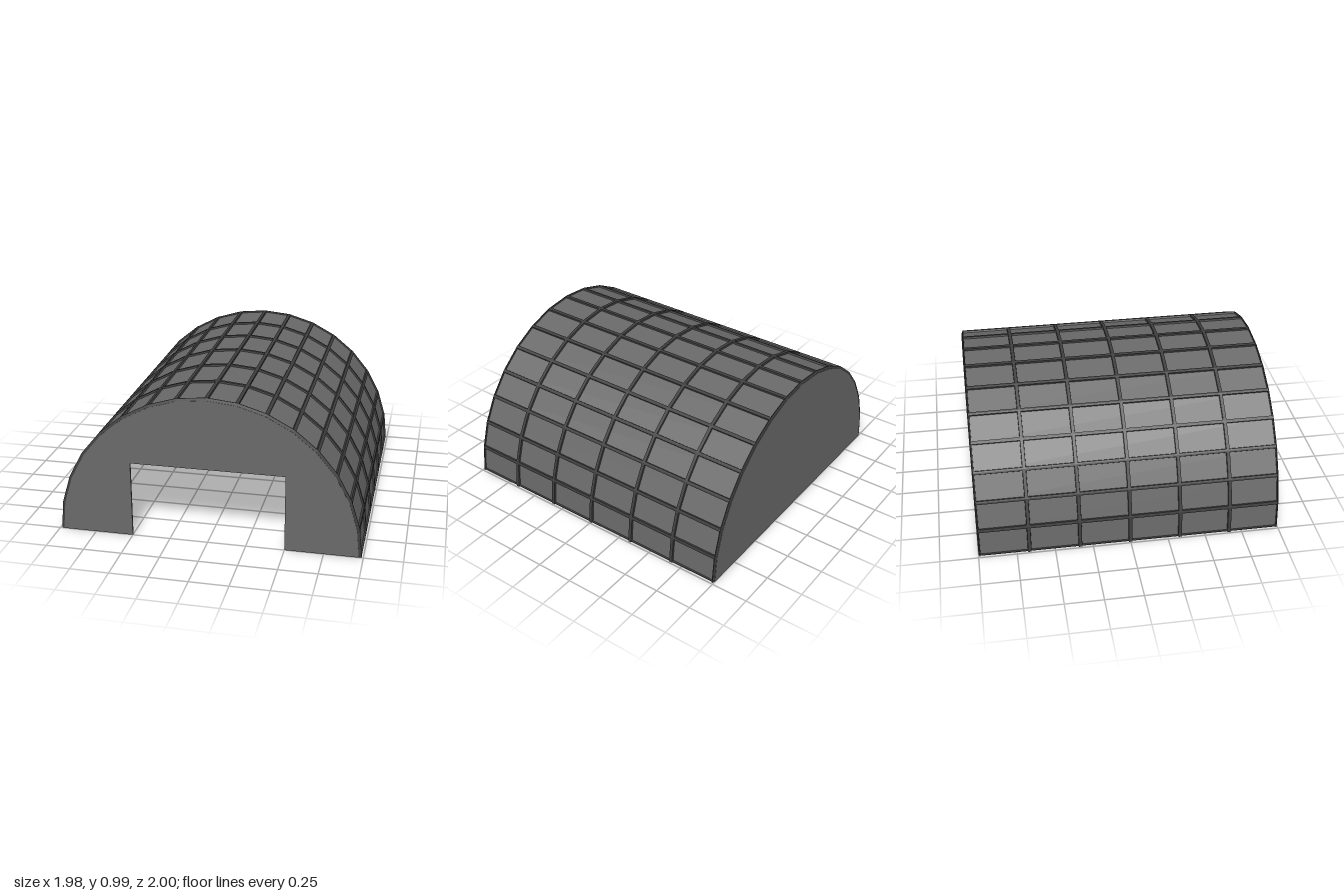
import * as THREE from 'three';

const SIDES = 16, STEP = Math.PI / SIDES;
const R_RIB = 0.99, R_SKIN = 0.978, R_WALL = 0.972, R_FOOT = 0.96, R_INNER = 0.92;
const HALF = 0.015, CHAMFER = 0.004;

const light = new THREE.MeshStandardMaterial({ color: 0x696969, flatShading: true });
const dark = new THREE.MeshStandardMaterial({ color: 0x3e3e3e, flatShading: true });

const at = (r, i) => new THREE.Vector2(r * Math.cos(i * STEP), r * Math.sin(i * STEP));
const arc = (r) => Array.from({ length: SIDES + 1 }, (_, i) => at(r, i));

// Faceted half ring between two radii
const ringShape = (outer, inner) => new THREE.Shape([...arc(outer), ...arc(inner).reverse()]);

// Half-disc end wall, optionally with a doorway cut up from the ground
function wallShape(r, door) {
  const pts = arc(r);
  if (door) {
    for (const [x, y] of [[-0.5, 0], [-0.5, 0.51], [0.5, 0.51], [0.5, 0]]) pts.push(new THREE.Vector2(x, y));
  }
  return new THREE.Shape(pts);
}

// Point on the facet edge from corner i toward corner j
function along(r, i, j, distance) {
  const a = at(r, i);
  return at(r, j).sub(a).setLength(distance).add(a);
}

// Bent, slightly tapered section wrapping one corner of the arch;
// the two at the ground have a cut lower edge
function ribShape(i) {
  const pts = [];
  if (i > 0) pts.push(along(R_FOOT, i, i - 1, HALF), along(R_RIB, i, i - 1, HALF - CHAMFER));
  if (i === 0) pts.push(at(R_FOOT, i), at(R_WALL, i), along(R_RIB, i, i + 1, 0.007));
  else if (i === SIDES) pts.push(along(R_RIB, i, i - 1, 0.007), at(R_WALL, i), at(R_FOOT, i));
  else pts.push(at(R_RIB, i));
  if (i < SIDES) pts.push(along(R_RIB, i, i + 1, HALF - CHAMFER), along(R_FOOT, i, i + 1, HALF));
  if (i > 0 && i < SIDES) pts.push(at(R_FOOT, i));
  return new THREE.Shape(pts);
}

export function createModel() {
  const model = new THREE.Group();
  model.name = 'vaultedShelter';

  const addGroup = (name) => {
    const group = new THREE.Group();
    group.name = name;
    model.add(group);
    return group;
  };
  const addMesh = (name, geometry, material, parent) => {
    const mesh = new THREE.Mesh(geometry, material);
    mesh.name = name;
    parent.add(mesh);
  };
  const addPart = (name, shape, z0, z1, material, parent = model) => {
    const geometry = new THREE.ExtrudeGeometry(shape, { depth: z1 - z0, bevelEnabled: false });
    addMesh(name, geometry.translate(0, 0, z0), material, parent);
  };

  // Vault: dark lining inside, lighter skin outside
  addPart('vaultLining', ringShape(R_FOOT, R_INNER), -0.99, 0.99, dark);
  addPart('vaultSkin', ringShape(R_SKIN, R_FOOT), -0.988, 0.988, light);

  // Thin end walls, light outside and dark inside
  addPart('frontWall', wallShape(R_WALL, true), 0.99, 1, light);
  addPart('frontWallLining', wallShape(R_FOOT, true), 0.987, 0.99, dark);
  addPart('backWall', wallShape(R_WALL, false), -1, -0.99, light);
  addPart('backWallLining', wallShape(R_FOOT, false), -0.99, -0.987, dark);

  // Raised ribs along the length at every facet corner
  const longRibs = addGroup('longRibs');
  for (let i = 0; i <= SIDES; i++) addPart('longRib', ribShape(i), -0.992, 0.992, dark, longRibs);

  // Raised arched ribs across, swept from a [radius, z] profile
  const archRibs = addGroup('archRibs');
  const addArch = (name, profile) => {
    const pts = profile.map(([r, z]) => new THREE.Vector2(r, z));
    const geometry = new THREE.LatheGeometry(pts, SIDES, Math.PI / 2, Math.PI);
    addMesh(name, geometry.rotateX(Math.PI / 2), dark, archRibs);
  };
  for (let k = -2; k <= 2; k++) {
    const z = k / 3;
    addArch('archRib', [[R_FOOT, z - HALF], [R_RIB, z - HALF + CHAMFER], [R_RIB, z + HALF - CHAMFER], [R_FOOT, z + HALF]]);
  }

  // End rims, chamfered down to the walls
  const rim = [[R_FOOT, 0.985], [R_RIB, 0.987], [R_RIB, 0.992], [R_WALL - 0.004, 0.9995]];
  addArch('frontRim', rim);
  addArch('backRim', rim.map(([r, z]) => [r, -z]).reverse());
  return model;
}
